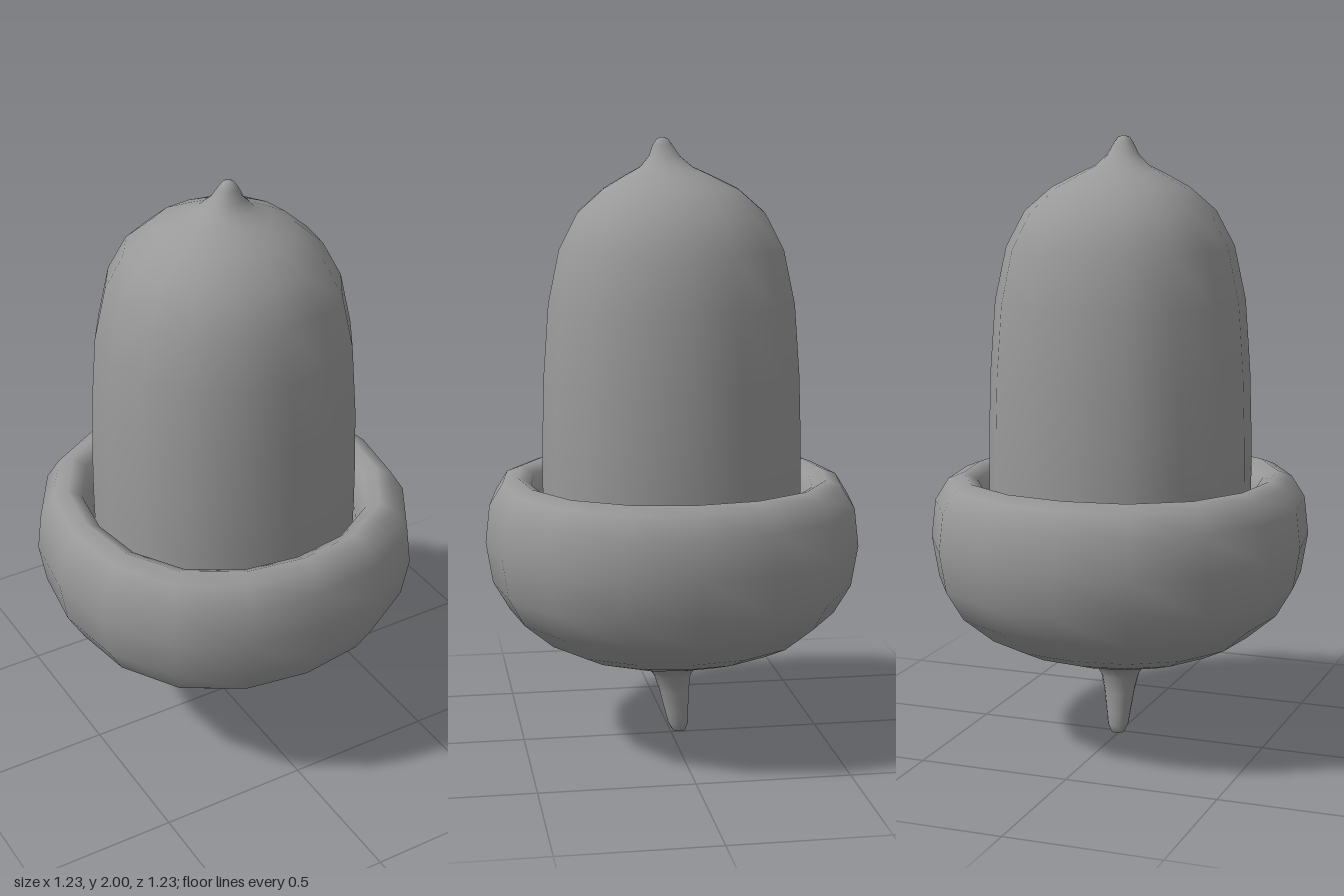
import * as THREE from 'three';
import { mergeVertices } from 'three/addons/utils/BufferGeometryUtils.js';

const SIDES = 16;

// Lathe a [radius, height] profile, slightly squared in plan, with bend(y) shifting it along z
function turned(name, profile, bend, material) {
  let geo = new THREE.LatheGeometry(profile.map(([r, y]) => new THREE.Vector2(r, y)), SIDES);
  const pos = geo.attributes.position;
  for (let i = 0; i < pos.count; i++) {
    const x = pos.getX(i), y = pos.getY(i), z = pos.getZ(i);
    const k = 1 + 0.037 * Math.sin(2 * Math.atan2(x, z)) ** 2;
    pos.setXYZ(i, x * k, y, z * k + bend(y));
  }
  // Weld the seam and poles so the shading is smooth all round
  geo.deleteAttribute('uv');
  geo.deleteAttribute('normal');
  geo = mergeVertices(geo, 1e-4);
  geo.computeVertexNormals();
  const mesh = new THREE.Mesh(geo, material);
  mesh.name = name;
  return mesh;
}

export function createModel() {
  const group = new THREE.Group();
  group.name = 'acorn';
  const grey = new THREE.MeshStandardMaterial({ color: 0x999999 });
  grey.name = 'grey';

  // Cup with its stem below and the rim rolled inwards against the nut
  const cup = [
    [0, 0], [0.022, 0.008], [0.034, 0.035], [0.04, 0.08], [0.05, 0.15], [0.062, 0.205],
    [0.085, 0.24], [0.125, 0.256], [0.26, 0.295], [0.36, 0.33], [0.44, 0.37], [0.54, 0.455],
    [0.595, 0.55], [0.617, 0.685], [0.603, 0.81], [0.56, 0.88], [0.51, 0.9],
    [0.465, 0.875], [0.437, 0.8], [0.425, 0.7],
  ];
  // The stem leans backwards towards its end
  group.add(turned('cupAndStem', cup, y => -0.028 * Math.max(0, 1 - y / 0.24), grey));

  // Nut with a small pointed tip
  const nut = [
    [0.425, 0.66], [0.427, 0.9], [0.425, 1.05], [0.419, 1.24], [0.402, 1.47], [0.365, 1.645],
    [0.305, 1.76], [0.22, 1.835], [0.14, 1.878], [0.085, 1.905], [0.05, 1.94],
    [0.032, 1.975], [0.018, 1.995], [0, 2],
  ];
  // The tip leans forwards
  group.add(turned('nut', nut, y => 0.028 * Math.min(1, Math.max(0, (y - 1.83) / 0.14)), grey));

  return group;
}
